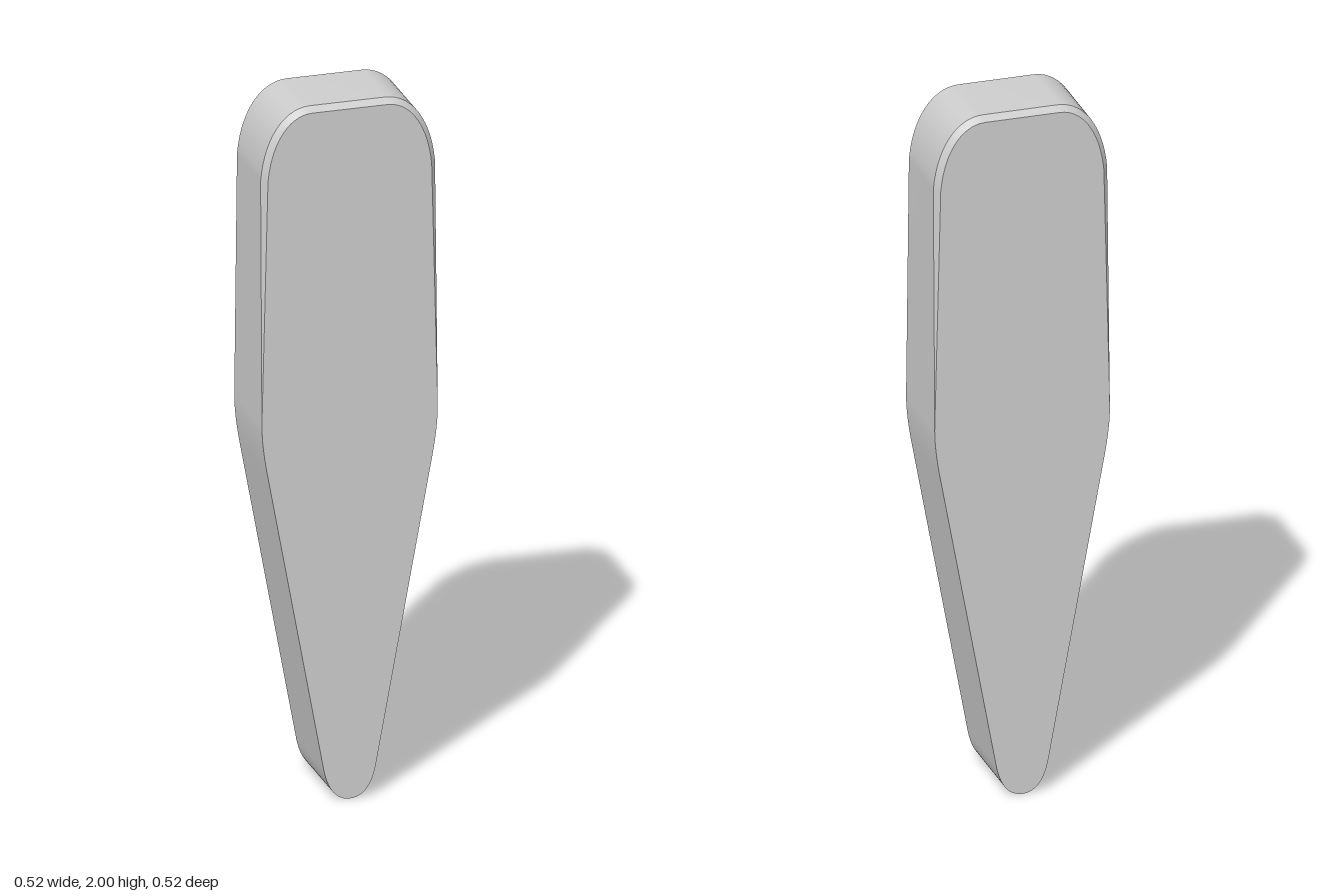
import * as THREE from 'three';

const HALF_DEPTH = 0.123; // half thickness of the slab
const CHAMFER_OUT = 0.015; // chamfer size across the face
const CHAMFER_DEPTH = 0.018; // chamfer size along the thickness

// Closed outline, counter-clockwise: narrow rounded tip, wide shoulder, rounded top
function outline() {
  const path = new THREE.Path();
  path.moveTo(0, 0);
  path.bezierCurveTo(0.045, 0, 0.066, 0.045, 0.075, 0.1);
  path.lineTo(0.23, 0.95);
  path.quadraticCurveTo(0.247, 1.04, 0.247, 1.1);
  path.lineTo(0.245, 1.8);
  path.bezierCurveTo(0.235, 1.92, 0.18, 2, 0.105, 2);
  const right = path.getPoints(14);
  const left = right.slice(1).reverse().map((p) => new THREE.Vector2(-p.x, p.y));
  return [...right, ...left];
}

// Chamfer strength: none at the shoulder, full at the top
const strength = (y) => THREE.MathUtils.clamp((y - 1.1) / 0.7, 0, 1);

// Smooth band of quads between two closed rings
function band(a, b, keep = () => true) {
  const n = a.length;
  const index = [];
  for (let i = 0; i < n; i++) {
    const j = (i + 1) % n;
    if (keep(i, j)) index.push(i, n + i, n + j, i, n + j, j);
  }
  const geometry = new THREE.BufferGeometry().setFromPoints([...a, ...b]);
  geometry.setIndex(index);
  geometry.computeVertexNormals();
  return geometry;
}

export function createModel() {
  const group = new THREE.Group();
  group.name = 'taperedSlab';
  const grey = new THREE.MeshStandardMaterial({ color: 0xcccccc });
  grey.name = 'light grey';

  const add = (name, geometry, turn = 0) => {
    const mesh = new THREE.Mesh(geometry, grey);
    mesh.name = name;
    mesh.rotation.y = turn;
    group.add(mesh);
  };

  const outer = outline();
  const n = outer.length;
  // Face outline, moved inward by the chamfer
  const inner = outer.map((p, i) => {
    const d = outer[(i + 1) % n].clone().sub(outer[(i + n - 1) % n]).normalize();
    const s = CHAMFER_OUT * strength(p.y);
    return new THREE.Vector2(p.x - d.y * s, p.y + d.x * s);
  });

  const rim = (side) => outer.map((p) =>
    new THREE.Vector3(p.x, p.y, side * (HALF_DEPTH - CHAMFER_DEPTH * strength(p.y))));
  const faceRing = inner.map((p) => new THREE.Vector3(p.x, p.y, HALF_DEPTH));

  // Rim around the edge
  add('rim', band(rim(1), rim(-1)));

  // Both flat faces with their tapering chamfers
  const face = new THREE.ShapeGeometry(new THREE.Shape(inner)).translate(0, 0, HALF_DEPTH);
  const chamfer = band(faceRing, rim(1),
    (i, j) => strength(outer[i].y) + strength(outer[j].y) > 0);
  for (const [label, turn] of [['front', 0], ['back', Math.PI]]) {
    add(label + 'Face', face, turn);
    add(label + 'Chamfer', chamfer, turn);
  }

  // The slab stands diagonally
  group.rotation.y = Math.PI / 4;
  return group;
}
